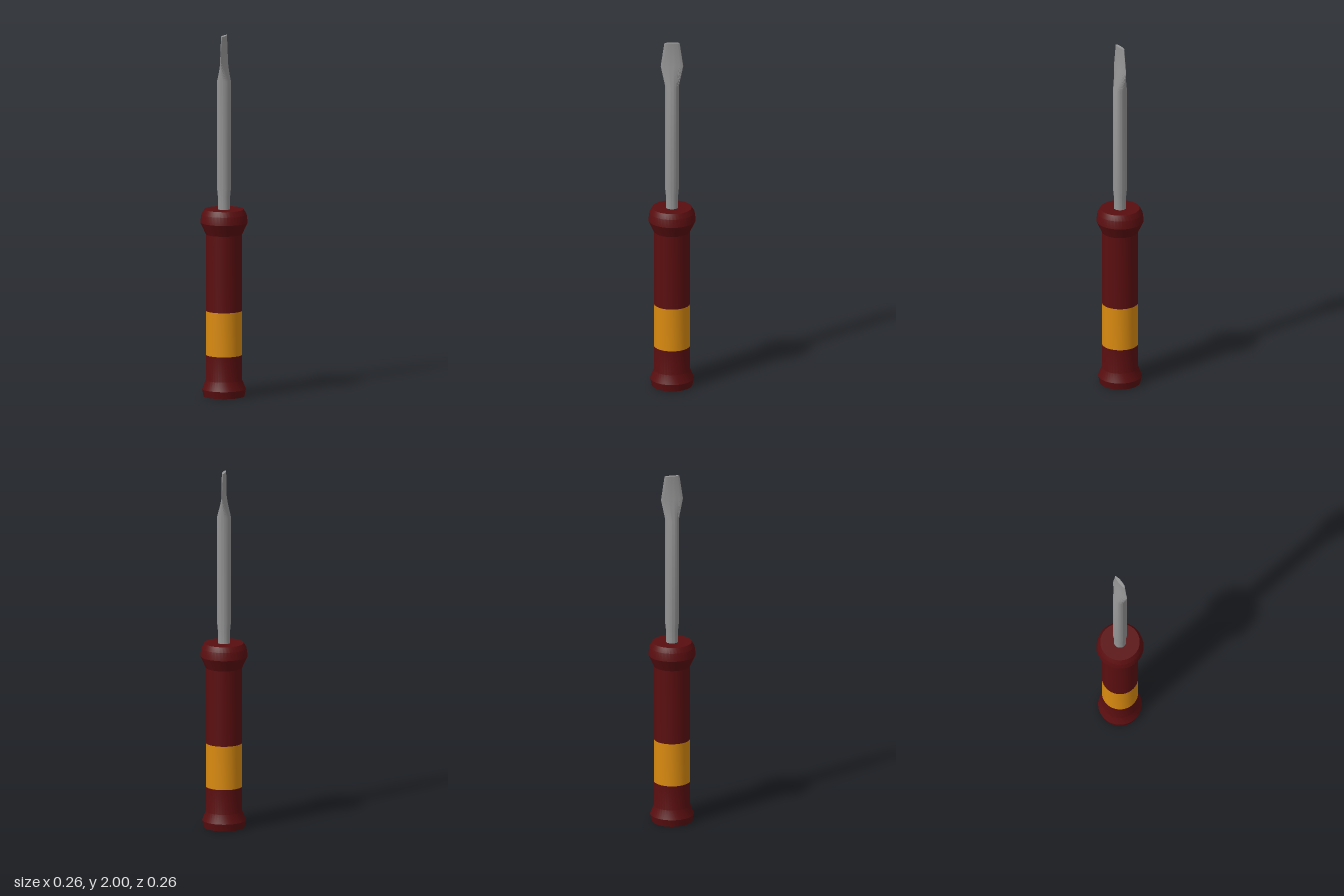
import * as THREE from 'three';
import { toCreasedNormals } from 'three/addons/utils/BufferGeometryUtils.js';

const SIDES = 40;
const red = new THREE.MeshStandardMaterial({ color: 0x5a0e10 });
const amber = new THREE.MeshStandardMaterial({ color: 0xd98a10 });
const steel = new THREE.MeshStandardMaterial({ color: 0xcccccc });
steel.color.set(0x969696);

// Turned part from [radius, height] pairs, listed bottom to top
function turned(name, profile, material) {
  const points = profile.map(([r, y]) => new THREE.Vector2(r, y));
  const geometry = toCreasedNormals(new THREE.LatheGeometry(points, SIDES), 0.4);
  const mesh = new THREE.Mesh(geometry, material);
  mesh.name = name;
  return mesh;
}

// Shaft and blade: elliptical sections of [half width x, half width z, height]
function makeShaft() {
  const sections = [
    [0.034, 0.034, 1.0], [0.034, 0.034, 1.11], [0.038, 0.038, 1.15],
    [0.038, 0.038, 1.75], [0.007, 0.062, 1.865], [0.009, 0.042, 2.0], [0, 0, 2.0],
  ];
  const points = sections.map(([x, , y]) => new THREE.Vector2(x, y));
  const geometry = new THREE.LatheGeometry(points, SIDES);
  const pos = geometry.attributes.position;
  for (let i = 0; i < pos.count; i++) {
    const [x, z] = sections[i % sections.length];
    if (x > 0) pos.setZ(i, pos.getZ(i) * z / x);
  }
  const mesh = new THREE.Mesh(toCreasedNormals(geometry, 0.6), steel);
  mesh.name = 'shaftAndBlade';
  return mesh;
}

export function createModel() {
  const model = new THREE.Group();
  model.name = 'screwdriver';

  // Handle with flared pommel and collar
  model.add(turned('handleBottom', [
    [0, 0], [0.112, 0], [0.12, 0.04], [0.1, 0.09], [0.1, 0.23],
  ], red));
  model.add(turned('handleBand', [[0.1, 0.23], [0.1, 0.475]], amber));
  model.add(turned('handleTop', [
    [0.1, 0.475], [0.1, 0.9], [0.13, 0.965], [0.124, 1.01], [0.108, 1.038], [0, 1.038],
  ], red));

  model.add(makeShaft());
  return model;
}
